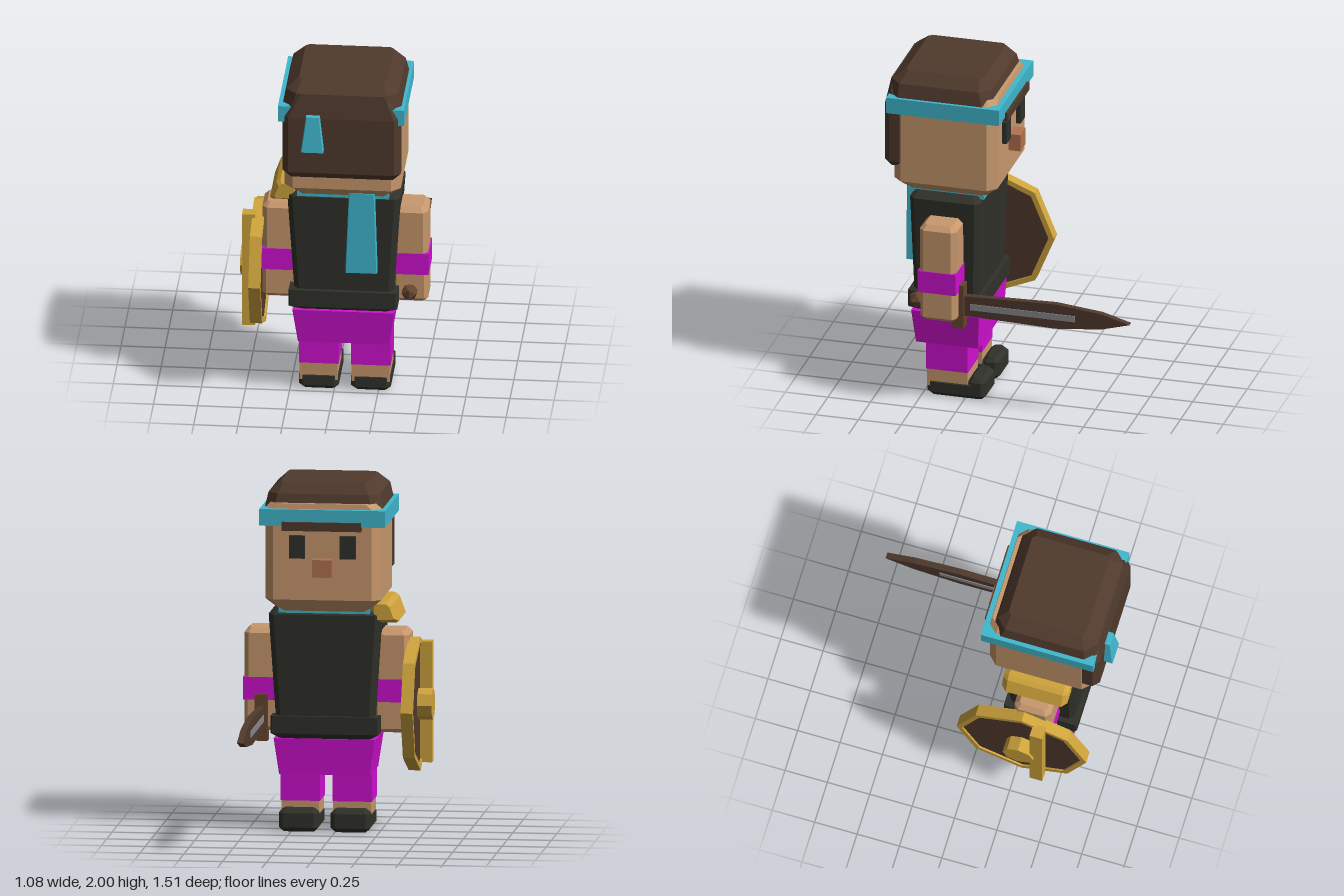
import * as THREE from 'three';

const CX = 0.06; // body centre line

const mat = (name, color) => {
  const m = new THREE.MeshStandardMaterial({ color });
  m.name = name;
  return m;
};

// Octagonal cross-section: rectangle x0..x1, z0..z1 with corners cut by c
const ring = (y, x0, x1, z0, z1, c = 0.004) => [
  [x1, y, z1 - c], [x1, y, z0 + c], [x1 - c, y, z0], [x0 + c, y, z0],
  [x0, y, z0 + c], [x0, y, z1 - c], [x0 + c, y, z1], [x1 - c, y, z1]];

// Flat-faced solid through cross-sections listed from bottom to top
function loft(rings) {
  const pos = [];
  const tri = (a, b, c) => pos.push(...a, ...b, ...c);
  const n = rings[0].length;
  for (let r = 0; r < rings.length - 1; r++) {
    for (let i = 0; i < n; i++) {
      const j = (i + 1) % n, lo = rings[r], hi = rings[r + 1];
      tri(lo[i], lo[j], hi[j]);
      tri(lo[i], hi[j], hi[i]);
    }
  }
  const bottom = rings[0], top = rings[rings.length - 1];
  for (let i = 1; i < n - 1; i++) {
    tri(top[0], top[i], top[i + 1]);
    tri(bottom[0], bottom[i + 1], bottom[i]);
  }
  const g = new THREE.BufferGeometry();
  g.setAttribute('position', new THREE.Float32BufferAttribute(pos, 3));
  g.computeVertexNormals();
  return g;
}

// Box with every edge chamfered by c
const chamferBox = (x0, x1, y0, y1, z0, z1, c) => loft([
  ring(y0, x0 + c, x1 - c, z0 + c, z1 - c, c * 0.5), ring(y0 + c, x0, x1, z0, z1, c),
  ring(y1 - c, x0, x1, z0, z1, c), ring(y1, x0 + c, x1 - c, z0 + c, z1 - c, c * 0.5)]);

const box = (x0, x1, y0, y1, z0, z1) =>
  new THREE.BoxGeometry(x1 - x0, y1 - y0, z1 - z0)
    .translate((x0 + x1) / 2, (y0 + y1) / 2, (z0 + z1) / 2);

// Shape of (z, y) points extruded along x from x0 to x1
const extrudeX = (shape, x0, x1) =>
  new THREE.ExtrudeGeometry(shape, { depth: x1 - x0, bevelEnabled: false })
    .rotateY(-Math.PI / 2).translate(x1, 0, 0);

const octagon = (r) => Array.from({ length: 8 }, (_, i) =>
  new THREE.Vector2(r * Math.cos(i * Math.PI / 4), r * Math.sin(i * Math.PI / 4)));

export function createModel() {
  const skin = mat('skin', 0xc8986d);
  const brown = mat('dark brown', 0x503a2d);
  const teal = mat('teal cloth', 0x40b8ce);
  const magenta = mat('magenta cloth', 0xcf10cf);
  const black = mat('charcoal', 0x30312a);
  const gold = mat('gold', 0xcfa43c);
  const noseTone = mat('nose', 0xb27350);
  const wood = mat('hilt brown', 0x664630);
  const steel = mat('steel', 0x88888a);

  const model = new THREE.Group();
  model.name = 'warrior';
  const add = (name, geometry, material, parent = model) => {
    const m = new THREE.Mesh(geometry, material);
    m.name = name;
    parent.add(m);
    return m;
  };

  // Head and hair
  const head = new THREE.Group();
  head.name = 'head';
  model.add(head);
  add('skull', loft([
    ring(1.265, -0.185, 0.305, 0.135, 0.57, 0.02), ring(1.34, -0.27, 0.39, 0.05, 0.655, 0.05),
    ring(1.86, -0.27, 0.39, 0.05, 0.655, 0.05), ring(1.89, -0.24, 0.36, 0.055, 0.63, 0.05)]), skin, head);
  add('hairCap', loft([
    ring(1.8, -0.276, 0.396, 0.07, 0.68, 0.06), ring(1.86, -0.276, 0.396, 0.07, 0.68, 0.06),
    ring(1.94, -0.258, 0.378, 0.09, 0.675, 0.06), ring(2, -0.188, 0.312, 0.145, 0.6, 0.02)]), brown, head);
  add('backHair', loft([
    ring(1.42, -0.235, 0.355, 0.58, 0.675, 0.01), ring(1.46, -0.275, 0.395, 0.578, 0.705, 0.035),
    ring(1.8, -0.275, 0.395, 0.578, 0.705, 0.035), ring(1.94, -0.185, 0.315, 0.578, 0.682, 0.01)]), brown, head);
  add('headband', box(-0.3, 0.415, 1.765, 1.86, 0.02, 0.683), teal, head);
  add('headbandTail', loft([
    ring(1.61, -0.165, -0.037, 0.69, 0.757), ring(1.82, -0.137, -0.06, 0.67, 0.735)]), teal, head);

  // Face
  for (const s of [-1, 1]) {
    const x = 0.057 + s * 0.145;
    add(s > 0 ? 'leftEye' : 'rightEye', box(x - 0.045, x + 0.045, 1.58, 1.71, 0.022, 0.06), black, head);
  }
  add('brow', box(-0.165, 0.285, 1.74, 1.79, 0.005, 0.06), brown, head);
  add('nose', box(0, 0.11, 1.48, 1.58, -0.02, 0.06), noseTone, head);

  // Vest, collar and hanging scarf
  add('vest', loft([
    ring(0.62, -0.22, 0.34, 0.165, 0.545, 0.03), ring(1.24, -0.26, 0.38, 0.145, 0.56, 0.03),
    ring(1.272, -0.22, 0.34, 0.17, 0.535, 0.02)]), black);
  add('vestHem', loft([
    ring(0.53, -0.2, 0.32, 0.17, 0.53, 0.02), ring(0.56, -0.25, 0.366, 0.14, 0.57, 0.01),
    ring(0.66, -0.25, 0.366, 0.14, 0.57, 0.01)]), black);
  add('collar', box(-0.2, 0.32, 1.252, 1.28, 0.135, 0.575), teal);
  add('scarfTail', loft([
    ring(0.8, 0.075, 0.255, 0.555, 0.61), ring(1.295, 0.095, 0.24, 0.555, 0.61)]), teal);

  // Trousers
  add('hips', loft([
    ring(0.325, -0.2, 0.32, 0.165, 0.535), ring(0.53, -0.23, 0.35, 0.155, 0.555)]), magenta);

  // Arms and legs, one for each side of the centre line
  for (const s of [-1, 1]) {
    const side = s > 0 ? 'left' : 'right';
    const span = (a, b) => (s > 0 ? [CX + a, CX + b] : [CX - b, CX - a]);
    const limb = (name, a, b, rest, material) => add(side + name, chamferBox(...span(a, b), ...rest), material);
    limb('UpperArm', 0.27, 0.47, [0.74, 1.145, 0.243, 0.46, 0.028], skin);
    limb('Hand', 0.27, 0.47, [0.56, 0.77, 0.243, 0.455, 0.022], skin);
    add(side + 'ArmBand', box(...span(0.262, 0.475), 0.735, 0.865, 0.24, 0.465), magenta);
    add(side + 'TrouserLeg', box(...span(0.035, 0.26), 0.165, 0.33, 0.23, 0.475), magenta);
    add(side + 'Ankle', box(...span(0.04, 0.255), 0.06, 0.165, 0.232, 0.47), skin);
    limb('Shoe', 0.035, 0.26, [0, 0.11, 0.13, 0.474, 0.025], black);
    limb('ShoeToe', 0.035, 0.26, [0.03, 0.132, 0.13, 0.235, 0.025], black);
  }

  // Shoulder guard
  const guard = (z, k) => [[-0.36, 1.21], [-0.325, 1.305], [-0.3, 1.325], [-0.2, 1.325], [-0.2, 1.2], [-0.345, 1.2]]
    .map(([x, y]) => [-0.27 + (x + 0.27) * k, 1.26 + (y - 1.26) * k, z]).reverse();
  add('shoulderGuard', loft([
    guard(0.155, 0.7), guard(0.185, 1), guard(0.51, 1), guard(0.54, 0.7)]), gold);

  // Octagonal shield
  const shield = new THREE.Group();
  shield.name = 'shield';
  shield.position.set(0, 0.72, 0.31);
  model.add(shield);
  const rim = new THREE.Shape(octagon(0.382));
  rim.holes.push(new THREE.Path(octagon(0.35).reverse()));
  add('shieldRim', extrudeX(rim, -0.468, -0.4), gold, shield);
  add('shieldPanel', extrudeX(new THREE.Shape(octagon(0.355)), -0.457, -0.412), brown, shield);
  add('shieldBar', box(-0.525, -0.45, -0.345, 0.345, 0.065, 0.14), gold, shield);
  add('shieldBoss', extrudeX(new THREE.Shape(octagon(0.09)), -0.54, -0.45), gold, shield);

  // Sword held forward in the hand
  const sword = new THREE.Group();
  sword.name = 'sword';
  sword.position.set(0.43, 0.64, 0);
  model.add(sword);
  const blade = new THREE.Shape([
    [0.23, -0.06], [0.23, 0.06], [-0.32, 0.075], [-0.59, 0.047],
    [-0.755, 0], [-0.59, -0.047], [-0.32, -0.075]].map(p => new THREE.Vector2(...p)));
  add('blade', extrudeX(blade, -0.018, 0.018), brown, sword);
  for (const s of [-1, 1]) {
    add('fuller', box(s * 0.02 - 0.003, s * 0.02 + 0.003, -0.02, 0.017, -0.435, 0.18), steel, sword);
  }
  add('crossguard', box(-0.038, 0.036, -0.135, 0.13, 0.213, 0.28), wood, sword);
  add('grip', new THREE.CylinderGeometry(0.022, 0.022, 0.24, 6).rotateX(Math.PI / 2)
    .translate(0, 0, 0.36).toNonIndexed(), wood, sword).geometry.computeVertexNormals();
  add('pommel', new THREE.IcosahedronGeometry(0.05, 0).translate(0, 0, 0.495), wood, sword);

  return model;
}
